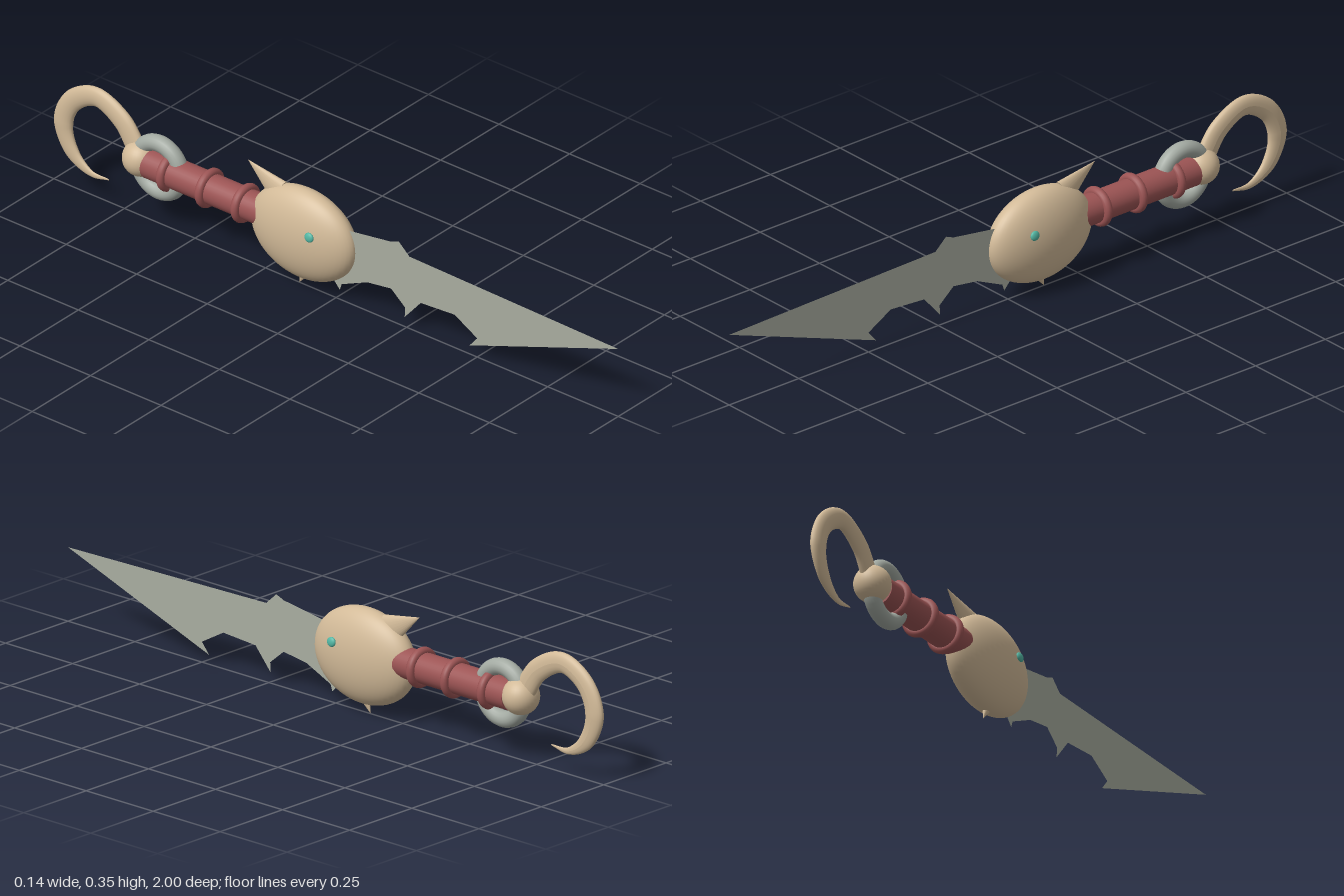
import * as THREE from 'three';

const mat = (name, color, side = THREE.FrontSide) => {
  const m = new THREE.MeshStandardMaterial({ color, side });
  m.name = name;
  return m;
};

// Tube along a curve whose radius follows a list of values; flattened in x.
function taperedTube(points, radii, flatten, steps = 64, sides = 20) {
  const curve = new THREE.CatmullRomCurve3(points.map(([z, y]) => new THREE.Vector3(0, y, z)));
  const geo = new THREE.TubeGeometry(curve, steps, 1, sides);
  const pos = geo.attributes.position;
  const v = new THREE.Vector3();
  for (let i = 0; i <= steps; i++) {
    const centre = curve.getPointAt(i / steps);
    const t = curve.getUtoTmapping(i / steps) * (radii.length - 1);
    const k = Math.min(Math.floor(t), radii.length - 2);
    const r = THREE.MathUtils.lerp(radii[k], radii[k + 1], t - k);
    for (let j = 0; j <= sides; j++) {
      const n = i * (sides + 1) + j;
      v.fromBufferAttribute(pos, n).sub(centre).multiplyScalar(r);
      v.x *= flatten;
      v.add(centre);
      pos.setXYZ(n, v.x, v.y, v.z);
    }
  }
  geo.computeVertexNormals();
  return geo;
}

export function createModel() {
  const group = new THREE.Group();
  const bone = mat('bone', 0xd2ba98);
  const steel = mat('steel', 0xa9ada0, THREE.DoubleSide);
  const iron = mat('iron', 0xa3aaa2);
  const leather = mat('red leather', 0x9c5454);
  const teal = mat('teal', 0x52b5a2);

  const add = (name, geo, material, x, y, z) => {
    const mesh = new THREE.Mesh(geo, material);
    mesh.name = name;
    mesh.position.set(x, y, z);
    group.add(mesh);
    return mesh;
  };

  // Cone in the x = 0 plane from base [z, y] to tip [z, y]
  const spike = (name, base, tip, radius, flatten) => {
    const a = new THREE.Vector3(0, base[1], base[0]);
    const b = new THREE.Vector3(0, tip[1], tip[0]);
    const dir = b.clone().sub(a);
    const geo = new THREE.ConeGeometry(radius, dir.length(), 24).scale(flatten, 1, 1);
    const mid = a.add(b).multiplyScalar(0.5);
    const mesh = add(name, geo, bone, 0, mid.y, mid.z);
    mesh.rotation.x = Math.atan2(dir.z, dir.y);
  };

  // Jagged sheet blade, outline as [z, y]
  const outline = [
    [1, 0.214], [0.26, 0.228], [0.222, 0.262], [0.195, 0.251], [0.05, 0.23], [-0.05, 0.22],
    [-0.05, 0.1], [0.013, 0.03], [0.02, 0.05], [0.11, 0.09], [0.195, 0.102], [0.245, 0.06],
    [0.243, 0.03], [0.3, 0.096], [0.42, 0.104], [0.5, 0.059], [0.473, 0.027],
  ];
  const shape = new THREE.Shape(outline.map(([z, y]) => new THREE.Vector2(z, y)));
  add('blade', new THREE.ShapeGeometry(shape).rotateY(-Math.PI / 2), steel, 0, 0, 0);

  // Skull-like guard with horn, tooth and eyes
  add('head', new THREE.SphereGeometry(1, 48, 32).scale(0.069, 0.139, 0.18), bone, 0, 0.165, -0.112);
  spike('horn', [-0.2, 0.26], [-0.313, 0.321], 0.044, 0.42);
  spike('tooth', [-0.108, 0.045], [-0.13, 0], 0.018, 0.75);
  for (const side of [1, -1]) {
    const eye = add(side > 0 ? 'leftEye' : 'rightEye',
      new THREE.SphereGeometry(1, 20, 14).scale(0.007, 0.014, 0.015), teal, side * 0.064, 0.203, -0.043);
    eye.rotation.z = side * 0.15;
  }

  // Wrapped handle
  add('handle', new THREE.CylinderGeometry(0.044, 0.044, 0.41, 32).rotateX(Math.PI / 2),
    leather, 0, 0.179, -0.455);
  for (const z of [-0.321, -0.448, -0.585]) {
    add('handleBand', new THREE.TorusGeometry(0.045, 0.013, 14, 36), leather, 0, 0.179, z);
  }

  // Loose ring, pommel ball and flattened hook
  add('ring', new THREE.TorusGeometry(0.075, 0.024, 18, 48).rotateY(Math.PI / 2), iron, 0, 0.178, -0.625);
  add('pommel', new THREE.SphereGeometry(0.053, 32, 20), bone, 0, 0.184, -0.691);
  const path = [
    [-0.7, 0.19], [-0.716, 0.22], [-0.757, 0.275], [-0.848, 0.317], [-0.933, 0.273],
    [-0.966, 0.193], [-0.935, 0.11], [-0.869, 0.067], [-0.805, 0.07],
  ];
  const radii = [0.034, 0.034, 0.033, 0.03, 0.031, 0.032, 0.024, 0.01, 0.002];
  add('hook', taperedTube(path, radii, 0.52), bone, 0, 0, 0);

  return group;
}
